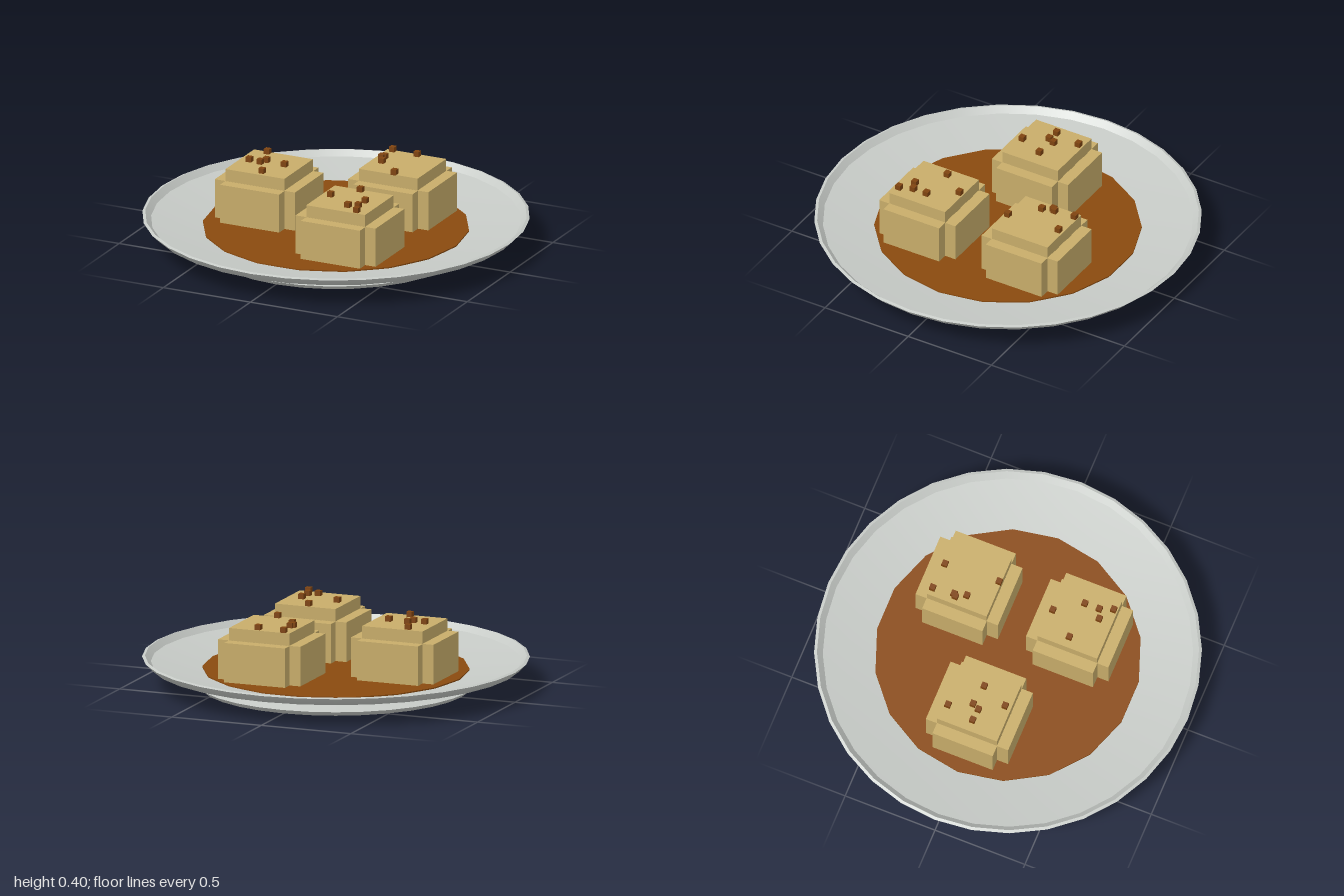
import * as THREE from 'three';

const material = (name, color, extra = {}) => {
  const m = new THREE.MeshStandardMaterial({ color, ...extra });
  m.name = name;
  return m;
};

export function createModel() {
  const model = new THREE.Group();
  model.name = 'plateOfCakes';
  const china = material('china grey', 0xc6cac6);
  const sauceBrown = material('sauce brown', 0x8a4a0e);
  const cakeTan = material('cake tan', 0xc8ad6a);
  const crumbBrown = material('crumb brown', 0x7f4410);

  const add = (parent, name, geometry, mat, x = 0, y = 0, z = 0) => {
    const mesh = new THREE.Mesh(geometry, mat);
    mesh.name = name;
    mesh.position.set(x, y, z);
    parent.add(mesh);
    return mesh;
  };

  // Plate: lathed bands, split where the profile has a sharp crease
  const plate = new THREE.Group();
  plate.name = 'plate';
  model.add(plate);
  const bands = {
    footUnderside: [[0, 0], [0.70, 0], [0.73, 0.025]],
    footTop: [[0.73, 0.025], [0.63, 0.045]],
    outerWall: [[0.63, 0.045], [0.96, 0.115], [1, 0.155]],
    rim: [[1, 0.155], [0.985, 0.16]],
    innerWall: [[0.985, 0.16], [0.955, 0.13]],
    floor: [[0.955, 0.13], [0.69, 0.09], [0.5, 0.075], [0, 0.075]],
  };
  for (const [name, profile] of Object.entries(bands)) {
    const points = profile.map(([r, y]) => new THREE.Vector2(r, y));
    add(plate, name, new THREE.LatheGeometry(points, 32), china);
  }

  // Pool of sauce, with a corner on the x axis
  const pool = new THREE.CylinderGeometry(0.69, 0.69, 0.015, 18, 1, false, Math.PI / 2);
  add(model, 'sauce', pool, sauceBrown, 0, 0.0885, 0);

  // Cakes: two crossed slabs, a raised square top and scattered crumbs
  const base = 0.09;
  const slab = (w, top, d) => new THREE.BoxGeometry(w, top - base, d);
  const wide = slab(0.46, 0.305, 0.335);
  const deep = slab(0.34, 0.304, 0.458);
  const crown = slab(0.338, 0.37, 0.333);
  const crumb = new THREE.BoxGeometry(0.03, 0.03, 0.03);
  const cakes = [
    { x: 0.23, z: -0.31, crumbs: [[0.1, -0.46], [0.245, -0.45], [0.11, -0.345], [0.1, -0.333], [0.127, -0.28], [0.26, -0.155]] },
    { x: 0.23, z: 0.305, crumbs: [[0.22, 0.16], [0.115, 0.295], [0.315, 0.3], [0.315, 0.38], [0.265, 0.4], [0.34, 0.45]] },
    { x: -0.385, z: -0.003, crumbs: [[-0.465, -0.145], [-0.412, -0.027], [-0.43, 0.01], [-0.495, 0.004], [-0.3, -0.01], [-0.36, 0.13]] },
  ];
  for (const { x, z, crumbs } of cakes) {
    const cake = new THREE.Group();
    cake.name = 'cake';
    cake.position.set(x, 0, z);
    model.add(cake);
    add(cake, 'wideSlab', wide, cakeTan, 0, (base + 0.305) / 2, 0);
    add(cake, 'deepSlab', deep, cakeTan, 0, (base + 0.304) / 2, 0);
    add(cake, 'raisedTop', crown, cakeTan, 0, (base + 0.37) / 2, 0);
    for (const [cx, cz] of crumbs) add(cake, 'crumb', crumb, crumbBrown, cx - x, 0.382, cz - z);
  }
  return model;
}
